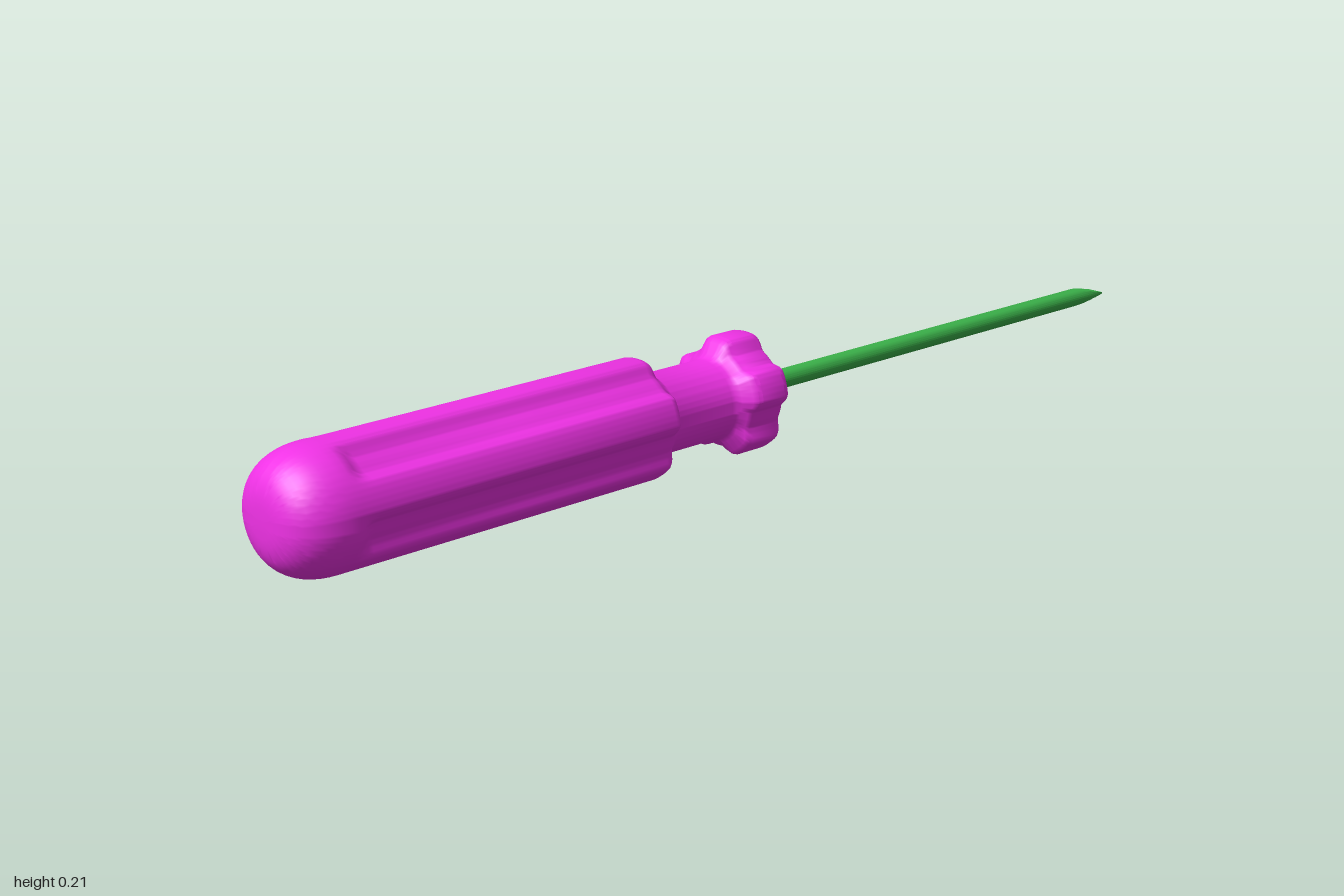
import * as THREE from 'three';
import { toCreasedNormals } from 'three/addons/utils/BufferGeometryUtils.js';

const CENTRE_Y = 0.107, R = 0.107, NECK = 0.071, SHAFT = 0.0175;

// Skin a list of z stations; section(station, angle) gives [x, y]
function loft(stations, segments, section, crease) {
  const pos = [], index = [];
  stations.forEach((s, i) => {
    for (let j = 0; j < segments; j++) {
      pos.push(...section(s, (j / segments) * Math.PI * 2), s[0]);
      if (i === stations.length - 1) continue;
      const a = i * segments + j, b = i * segments + (j + 1) % segments;
      index.push(a, b, b + segments, a, b + segments, a + segments);
    }
  });
  const geo = new THREE.BufferGeometry();
  geo.setAttribute('position', new THREE.Float32BufferAttribute(pos, 3));
  geo.setIndex(index);
  return toCreasedNormals(geo, crease);
}

// Five shallow grooves with a ridge at the top; 0 on a ridge, 1 in a groove
function groove(angle) {
  const pitch = Math.PI * 2 / 5;
  let d = (angle + Math.PI / 2) % pitch;
  d = Math.min(d, pitch - d);
  return 1 - THREE.MathUtils.smoothstep(d, 0.15, 0.42);
}

function createHandle() {
  // [z, radius, groove amount]
  const stations = [
    [-0.02, 0.0001, 1], [-0.02, 0.05, 1], [-0.02, 0.092, 1], [-0.017, 0.099, 1], [-0.01, 0.105, 1], [-0.002, R, 1],
    [0.05, R, 1], [0.058, 0.105, 1], [0.065, 0.098, 0.9], [0.075, 0.08, 0.4], [0.082, 0.073, 0], [0.09, NECK, 0],
    [0.215, NECK, 0], [0.222, 0.074, 0], [0.228, 0.083, 0.4], [0.236, 0.099, 0.9], [0.243, 0.105, 1], [0.252, R, 1],
    [0.55, R, 1], [0.855, R, 1], [0.865, R, 0.85], [0.875, R, 0.5], [0.885, R, 0.15], [0.895, R, 0],
  ];
  // Rounded butt end
  for (let i = 1; i <= 14; i++) {
    const t = (i / 14) * Math.PI / 2;
    stations.push([0.895 + 0.105 * Math.sin(t) ** 0.9, Math.max(R * Math.cos(t) ** 0.65, 0.0001), 0]);
  }
  return loft(stations, 140, ([, radius, amount], a) => {
    const r = radius * (1 - 0.16 * amount * groove(a));
    return [r * Math.cos(a), r * Math.sin(a)];
  }, 0.7);
}

function createShaft() {
  // [z, radius, half thickness]: the tip is ground to a flat wedge
  const stations = [[-1, 0.0001, 0.0015]];
  for (let i = 0; i <= 8; i++) {
    const t = i / 8;
    stations.push([-1 + 0.07 * t, SHAFT, 0.0015 + (SHAFT - 0.0015) * t]);
  }
  stations.push([0, SHAFT, SHAFT]);
  return loft(stations, 32, ([, radius, half], a) => [
    radius * Math.cos(a),
    THREE.MathUtils.clamp(radius * Math.sin(a), -half, half),
  ], 0.35);
}

export function createModel() {
  const model = new THREE.Group();
  model.name = 'screwdriver';
  const add = (name, geometry, color) => {
    const mesh = new THREE.Mesh(geometry, new THREE.MeshStandardMaterial({ color }));
    mesh.name = name;
    mesh.position.y = CENTRE_Y;
    model.add(mesh);
  };
  add('handle', createHandle(), 0xf032e6);
  add('shaft', createShaft(), 0x3cb44b);
  return model;
}
